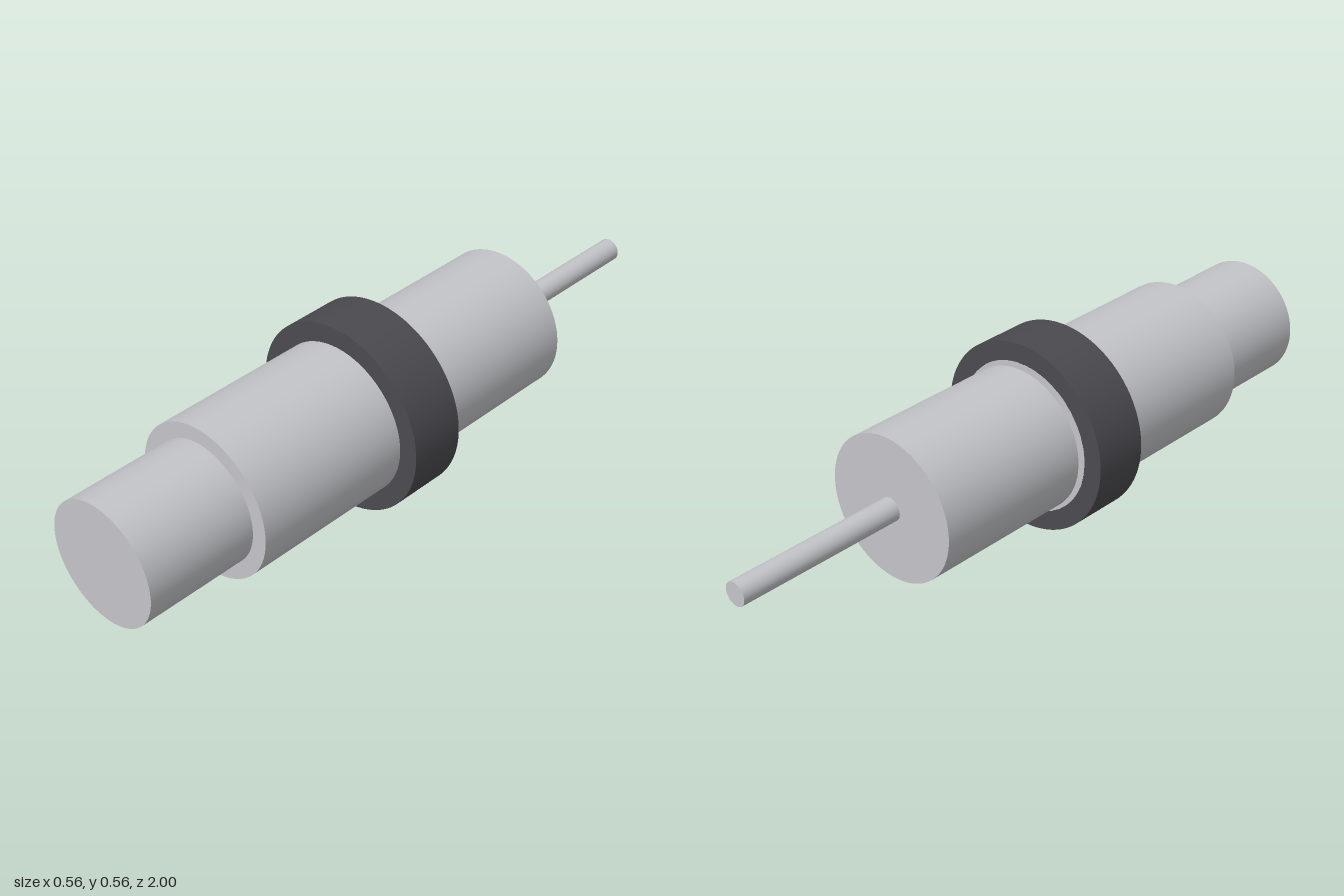
import * as THREE from 'three';

const AXIS_Y = 0.278;
const SEGMENTS = 64;

export function createModel() {
  const metal = new THREE.MeshStandardMaterial({ color: 0xc4c5c9 });
  metal.name = 'light metal';
  const rubber = new THREE.MeshStandardMaterial({ color: 0x4b4a4f });
  rubber.name = 'dark collar';

  const group = new THREE.Group();
  group.name = 'pinConnector';

  const add = (name, geometry, material) => {
    const mesh = new THREE.Mesh(geometry, material);
    mesh.name = name;
    mesh.position.y = AXIS_Y;
    group.add(mesh);
  };

  // Solid cylinder along z between two ends
  const rod = (name, radius, back, front) => {
    const geometry = new THREE.CylinderGeometry(radius, radius, front - back, SEGMENTS);
    geometry.rotateX(Math.PI / 2).translate(0, 0, (front + back) / 2);
    add(name, geometry, metal);
  };

  // Stepped body, rear body (a narrow gap behind the collar) and pin
  rod('frontTip', 0.177, 0.667, 1);
  rod('frontBody', 0.222, 0.013, 0.667);
  rod('rearBody', 0.21, -0.487, 0.002);
  rod('rearPin', 0.034, -1, -0.487);

  // Collar ring around the rear end of the front body
  const ring = new THREE.Shape().absarc(0, 0, 0.278, 0, Math.PI * 2, false);
  ring.holes.push(new THREE.Path().absarc(0, 0, 0.221, 0, Math.PI * 2, true));
  const collar = new THREE.ExtrudeGeometry(ring, {
    depth: 0.167, bevelEnabled: false, curveSegments: SEGMENTS,
  });
  collar.translate(0, 0, 0.013);
  // Smooth radial normals on the walls, flat end faces kept
  const p = collar.attributes.position;
  const n = collar.attributes.normal;
  for (let i = 0; i < p.count; i++) {
    if (Math.abs(n.getZ(i)) > 0.5) continue;
    const r = Math.hypot(p.getX(i), p.getY(i));
    const s = r > 0.25 ? 1 : -1;
    n.setXYZ(i, (s * p.getX(i)) / r, (s * p.getY(i)) / r, 0);
  }
  add('collar', collar, rubber);

  return group;
}
